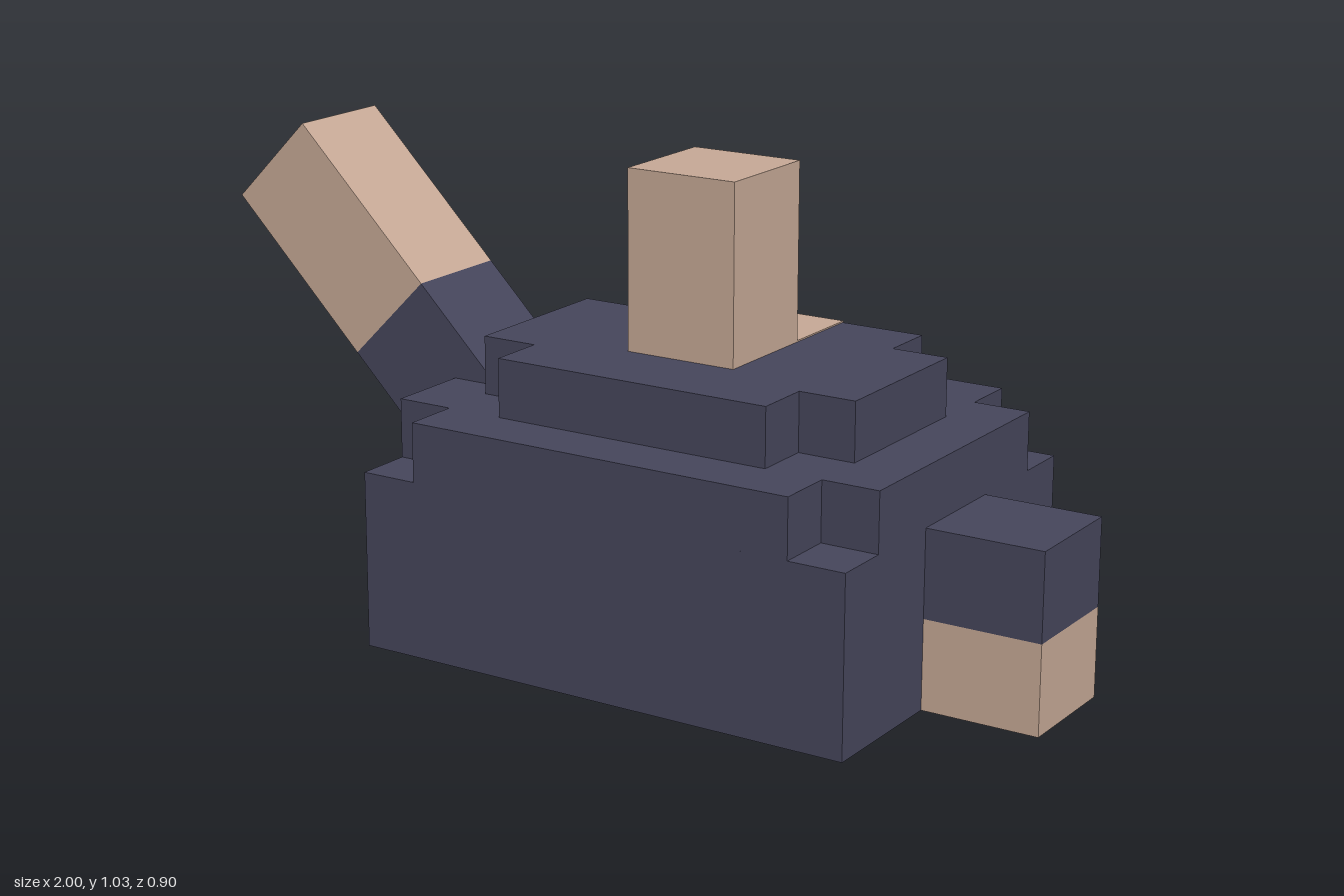
import * as THREE from 'three';

export function createModel() {
  const navy = new THREE.MeshStandardMaterial({ color: 0x46465c });
  navy.name = 'dark navy';
  const skin = new THREE.MeshStandardMaterial({ color: 0xc8aa97 });
  skin.name = 'pale tan';
  const model = new THREE.Group();
  model.name = 'blockFigure';

  const U = 0.128; // one block unit
  const CX = 0.1625; // middle of the body

  // Box given by its lower and upper corners
  function box(name, mat, [x0, y0, z0], [x1, y1, z1], parent = model) {
    const mesh = new THREE.Mesh(new THREE.BoxGeometry(x1 - x0, y1 - y0, z1 - z0), mat);
    mesh.position.set((x0 + x1) / 2, (y0 + y1) / 2, (z0 + z1) / 2);
    mesh.name = name;
    parent.add(mesh);
    return mesh;
  }

  // Slab with its four corners cut out by one unit
  function notchedSlab(name, hx, hz, y0, y1) {
    const a = hx - U, b = hz - U;
    const pts = [
      [hx, -b], [hx, b], [a, b], [a, hz], [-a, hz], [-a, b],
      [-hx, b], [-hx, -b], [-a, -b], [-a, -hz], [a, -hz], [a, -b],
    ].map(([x, z]) => new THREE.Vector2(x, z));
    const geo = new THREE.ExtrudeGeometry(new THREE.Shape(pts), { depth: y1 - y0, bevelEnabled: false });
    geo.rotateX(-Math.PI / 2);
    const mesh = new THREE.Mesh(geo, navy);
    mesh.position.set(CX, y0, 0);
    mesh.name = name;
    model.add(mesh);
  }

  // Stepped body
  const Z = 0.448, Y1 = 0.386, Y2 = 0.515, Y3 = 0.642;
  box('bodyBase', navy, [CX - 0.577, 0, -Z], [CX + 0.577, Y1, Z]);
  notchedSlab('bodyMiddleTier', 0.577, Z, Y1, Y2);
  notchedSlab('bodyTopTier', 0.449, Z - U, Y2, Y3);

  // Upright block on top
  box('head', skin, [CX - U, Y3, -U], [CX + U, 1.03, U]);

  // Tan strip running down the back, as thin plates
  const t = 0.003;
  const xa = CX - U, xb = CX + U, na = CX - U / 2, nb = CX + U / 2;
  box('backStripTop', skin, [xa, Y3 - t, -0.32 - t], [xb, Y3 + t, -U]);
  box('backStripRiser', skin, [xa, Y2, -0.32 - t], [xb, Y3 - t, -0.32 + t]);
  box('backStripLedge', skin, [xa, Y2 - t, -0.376], [xb, Y2 + t, -0.32]);
  box('backStripLedgeEnd', skin, [xa + 0.016, Y2 - t, -0.39], [xb - 0.016, Y2 + t, -0.376]);
  box('backStripTail', skin, [na, Y2 - t, -Z - t], [nb, Y2 + t, -0.39]);
  box('backStripTip', skin, [na, 0.45, -Z - t], [nb, Y2 - t, -Z + t]);

  // Lowered limb on the left: dark sleeve over a tan end
  const low = new THREE.Group();
  low.name = 'leftLimb';
  model.add(low);
  box('leftSleeve', navy, [0.7395, 0.195, -U], [1, Y1, U], low);
  box('leftHand', skin, [0.7395, 0, -U], [1, 0.195, U], low);

  // Raised limb on the right, tilted 45 degrees with its local +y pointing outward
  const raised = new THREE.Group();
  raised.name = 'rightLimb';
  raised.position.set(-0.91, 0.94, 0);
  raised.rotation.z = Math.PI / 4;
  model.add(raised);
  box('rightHand', skin, [-U, -0.449, -U], [U, 0, U], raised);
  box('rightSleeve', navy, [-U, -0.9, -U], [U, -0.449, U], raised);

  return model;
}
